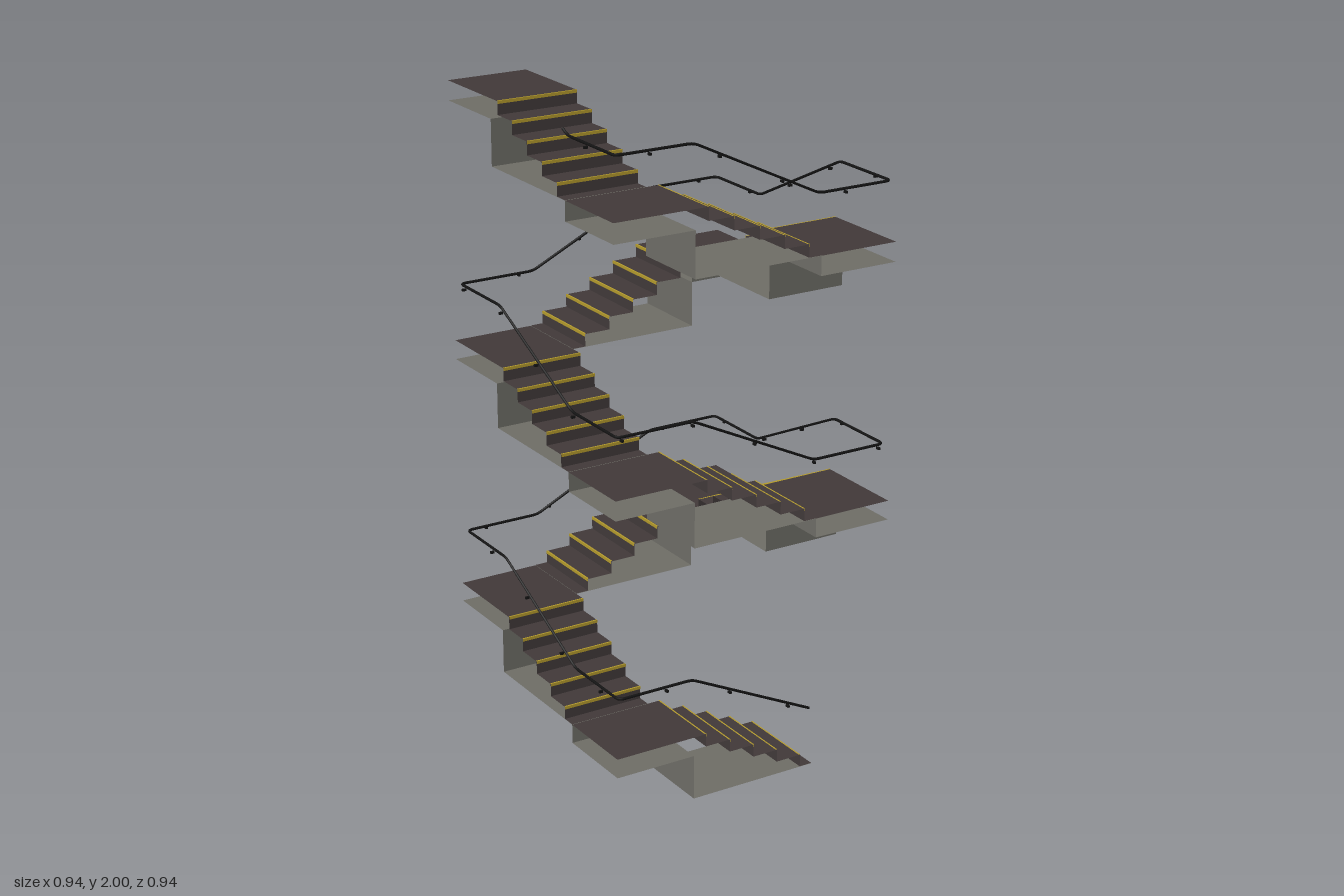
import * as THREE from 'three';

const FLIGHTS = 10, STEPS = 5, RISE = 0.2, STEP_H = RISE / STEPS, STEP_D = 0.084;
const INNER = 0.21, OUTER = 0.47, THICK = 0.06, RAIL = 0.455, RAIL_H = 0.18;

const mat = (name, color) => {
  const m = new THREE.MeshStandardMaterial({ color, side: THREE.DoubleSide });
  m.name = name;
  return m;
};

// Open sheet: a side profile [x, y] swept across the stair width
function sheet(profile) {
  const pos = [];
  for (let i = 0; i < profile.length - 1; i++) {
    const [ax, ay] = profile[i], [bx, by] = profile[i + 1];
    pos.push(ax, ay, INNER, bx, by, INNER, bx, by, OUTER, ax, ay, INNER, bx, by, OUTER, ax, ay, OUTER);
  }
  const g = new THREE.BufferGeometry();
  g.setAttribute('position', new THREE.Float32BufferAttribute(pos, 3));
  g.computeVertexNormals();
  return g;
}

function named(name, geometry, material) {
  const m = new THREE.Mesh(geometry, material);
  m.name = name;
  return m;
}

// Point of the front side turned to the side of flight k
const UP = new THREE.Vector3(0, 1, 0);
const turned = (k, x, y, z) => new THREE.Vector3(x, y, z).applyAxisAngle(UP, -k * Math.PI / 2);

function railCurve() {
  const pts = [];
  for (let k = 0; k < FLIGHTS - 1; k++) {
    const y = k * RISE + RAIL_H;
    pts.push(turned(k, 0.208, y, RAIL), turned(k, -0.208, y + RISE, RAIL), turned(k, -RAIL, y + RISE, RAIL));
  }
  const top = (FLIGHTS - 1) * RISE + RAIL_H;
  pts.push(turned(FLIGHTS - 1, 0.205, top, RAIL), turned(FLIGHTS - 1, 0.178, top + 0.014, RAIL));

  // Straight runs joined by small rounded bends
  const path = new THREE.CurvePath();
  let from = pts[0];
  for (let i = 1; i < pts.length - 1; i++) {
    const toward = (p) => pts[i].clone().add(p.clone().sub(pts[i]).setLength(0.018));
    const a = toward(pts[i - 1]), b = toward(pts[i + 1]);
    path.add(new THREE.LineCurve3(from, a));
    path.add(new THREE.QuadraticBezierCurve3(a, pts[i], b));
    from = b;
  }
  path.add(new THREE.LineCurve3(from, pts[pts.length - 1]));
  return path;
}

export function createModel() {
  const model = new THREE.Group();
  model.name = 'squareSpiralStaircase';
  const treadMat = mat('dark tread', 0x413939);
  const soffitMat = mat('grey concrete', 0x6e6d66);
  const nosingMat = mat('yellow nosing', 0xb39a2c);
  const railMat = mat('black rail', 0x131313);

  // Treads and risers, ending in the landing's upper plate
  const stepProfile = [[INNER, 0.001], [2 * STEP_D, 0.001]];
  const nosingGeos = [];
  for (let i = 0; i < STEPS; i++) {
    const x = (2 - i) * STEP_D, y = (i + 1) * STEP_H;
    stepProfile.push([x, y], [i < STEPS - 1 ? x - STEP_D : -OUTER, y]);
    nosingGeos.push(sheet([[x + 0.001, y - 0.008], [x + 0.001, y + 0.001], [x - 0.004, y + 0.001]]));
  }
  const stepGeo = sheet(stepProfile);

  // Landing's lower plate, end panel and flat bottom of the flight
  const under = [[-OUTER, RISE - THICK], [-INNER, RISE - THICK], [-INNER, 0], [INNER, 0]];
  const firstUnderGeo = sheet(under);
  const underGeo = sheet([...under, [INNER, -THICK]].slice(0, 5));

  for (let k = 0; k < FLIGHTS; k++) {
    const flight = new THREE.Group();
    flight.name = 'flight' + (k + 1);
    flight.add(named('stepsAndLanding', stepGeo, treadMat));
    flight.add(named('underside', k === 0 ? firstUnderGeo : underGeo, soffitMat));
    nosingGeos.forEach((g) => flight.add(named('nosing', g, nosingMat)));
    flight.position.y = k * RISE;
    flight.rotation.y = -k * Math.PI / 2;
    model.add(flight);
  }

  // Continuous handrail on the outer side
  const curve = railCurve();
  model.add(named('handrail', new THREE.TubeGeometry(curve, 1400, 0.0042, 6, false), railMat));

  // Small brackets under the rail, reaching outward
  const bracketGeo = new THREE.BoxGeometry(0.007, 0.007, 0.012);
  const count = Math.floor(curve.getLength() / 0.23);
  for (let i = 0; i < count; i++) {
    const p = curve.getPointAt((i + 0.4) / count);
    const bracket = named('railBracket', bracketGeo, railMat);
    const alongX = Math.abs(p.z) > Math.abs(p.x);
    const out = new THREE.Vector3(alongX ? 0 : Math.sign(p.x), 0, alongX ? Math.sign(p.z) : 0);
    bracket.position.copy(p).addScaledVector(out, 0.008);
    bracket.position.y -= 0.008;
    if (!alongX) bracket.rotation.y = Math.PI / 2;
    model.add(bracket);
  }
  return model;
}
